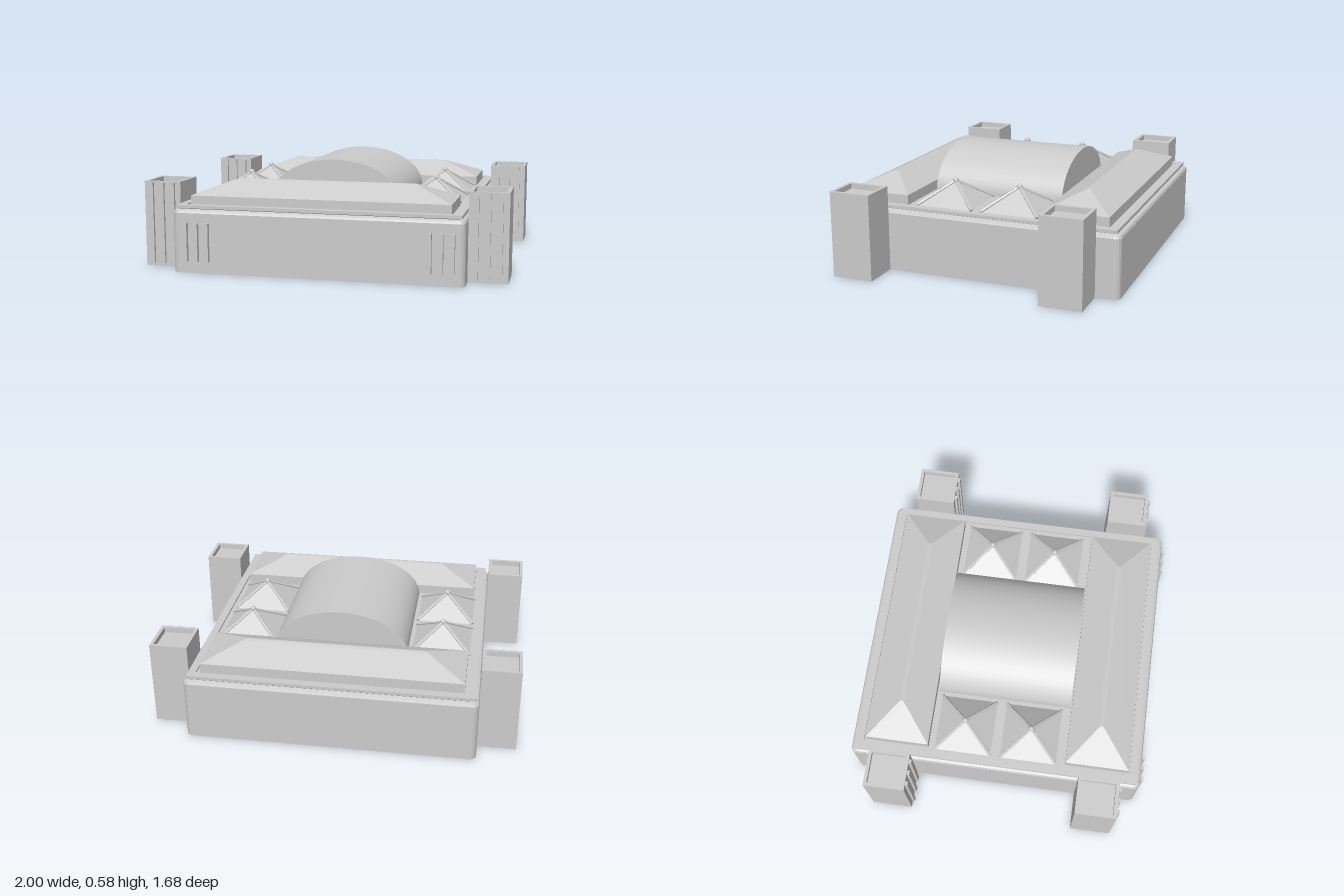
import * as THREE from 'three';

const flat = new THREE.MeshStandardMaterial({ color: 0xcccccc, flatShading: true, side: THREE.DoubleSide });
const smooth = new THREE.MeshStandardMaterial({ color: 0xcccccc });

function add(parent, name, geometry, x = 0, y = 0, z = 0, material = flat) {
  const mesh = new THREE.Mesh(geometry, material);
  mesh.name = name;
  mesh.position.set(x, y, z);
  parent.add(mesh);
  return mesh;
}

// Rectangle outline with optionally rounded corners, anticlockwise from above
function outline(hx, hz, y, r, steps) {
  const pts = [];
  [[1, 1], [-1, 1], [-1, -1], [1, -1]].forEach(([sx, sz], q) => {
    for (let i = 0; i <= steps; i++) {
      const a = (q + (steps ? i / steps : 0)) * Math.PI / 2;
      pts.push([sx * (hx - r) + r * Math.cos(a), y, -sz * (hz - r) - r * Math.sin(a)]);
    }
  });
  return pts;
}

// Shell through stacked outlines [halfX, halfZ, y, radius]: open below, capped above
function stack(levels, steps = 0) {
  const loops = levels.map(([hx, hz, y, r = 0]) => outline(hx, hz, y, r, steps));
  const n = loops[0].length;
  const index = [];
  for (let k = 0; k < loops.length - 1; k++) {
    for (let i = 0; i < n; i++) {
      const j = (i + 1) % n;
      const a = k * n + i, b = k * n + j, c = b + n, d = a + n;
      index.push(a, b, c, a, c, d);
    }
  }
  const top = (loops.length - 1) * n;
  for (let i = 1; i < n - 1; i++) index.push(top, top + i, top + i + 1);
  const g = new THREE.BufferGeometry();
  g.setAttribute('position', new THREE.Float32BufferAttribute(loops.flat(2), 3));
  g.setIndex(index);
  g.computeVertexNormals();
  return g;
}

// Round bar between two points
function bar(parent, name, from, to, radius) {
  const dir = to.clone().sub(from);
  const mid = from.clone().add(to).multiplyScalar(0.5);
  const mesh = add(parent, name, new THREE.CylinderGeometry(radius, radius, dir.length(), 6), mid.x, mid.y, mid.z);
  mesh.quaternion.setFromUnitVectors(new THREE.Vector3(0, 1, 0), dir.normalize());
}

function cornerTower() {
  const g = new THREE.Group();
  g.name = 'cornerTower';
  add(g, 'towerShell', stack([
    [0.105, 0.115, 0], [0.105, 0.115, 0.475], [0.086, 0.096, 0.475], [0.086, 0.096, 0.445],
  ]));
  for (const x of [-0.062, 0, 0.062]) {
    add(g, 'towerRib', new THREE.BoxGeometry(0.022, 0.45, 0.03), x, 0.245, 0.115);
  }
  return g;
}

function skylight() {
  const g = new THREE.Group();
  g.name = 'skylight';
  const h = 0.16, rise = 0.115;
  add(g, 'skylightGlass', stack([[h, h, 0], [0.001, 0.001, rise]]));
  const apex = new THREE.Vector3(0, rise, 0);
  for (const sx of [-1, 1]) for (const sz of [-1, 1]) {
    bar(g, 'skylightRidge', new THREE.Vector3(sx * h, 0.003, sz * h), apex, 0.009);
  }
  add(g, 'skylightFinial', new THREE.SphereGeometry(0.017, 10, 8), 0, rise + 0.002, 0, smooth);
  return g;
}

export function createModel() {
  const model = new THREE.Group();
  model.name = 'building';

  // Hollow main hall with bevelled top, roof slab and low parapet
  add(model, 'hall', stack([
    [0.79, 0.828, 0, 0.035], [0.79, 0.828, 0.325, 0.035], [0.784, 0.822, 0.338, 0.032],
    [0.765, 0.803, 0.345, 0.02], [0.772, 0.806, 0.348, 0.008], [0.772, 0.806, 0.365, 0.008],
    [0.73, 0.76, 0.365, 0.004], [0.73, 0.76, 0.355, 0.004],
  ], 4), 0, 0, -0.01);

  // Vent ribs on the front wall
  for (const x of [-0.71, -0.65, -0.59, 0.61, 0.67, 0.73]) {
    add(model, 'wallRib', new THREE.BoxGeometry(0.02, 0.21, 0.04), x, 0.17, 0.82);
  }

  // Hipped roof blocks across the front and back
  for (const z of [0.563, -0.577]) {
    add(model, 'hippedRoof', stack([
      [0.71, 0.178, 0.35], [0.71, 0.178, 0.41], [0.51, 0.02, 0.483], [0.495, 0.004, 0.489],
    ]), 0, 0, z);
  }

  // Central barrel vault
  const vault = new THREE.CylinderGeometry(1, 1, 0.76, 24, 1, false, Math.PI / 2, Math.PI);
  vault.rotateX(Math.PI / 2);
  vault.scale(0.373, 0.228, 1);
  const vaultMaterial = smooth.clone();
  vaultMaterial.side = THREE.DoubleSide;
  add(model, 'barrelVault', vault, 0, 0.356, -0.005, vaultMaterial);

  // Glazed pyramids either side of the vault
  for (const x of [-0.557, 0.543]) for (const z of [-0.203, 0.172]) {
    const s = skylight();
    s.position.set(x, 0.358, z);
    model.add(s);
  }

  // Four towers; their ribs all face forward
  for (const x of [-0.895, 0.895]) for (const z of [-0.595, 0.58]) {
    const t = cornerTower();
    t.position.set(x, 0, z);
    model.add(t);
  }
  return model;
}
